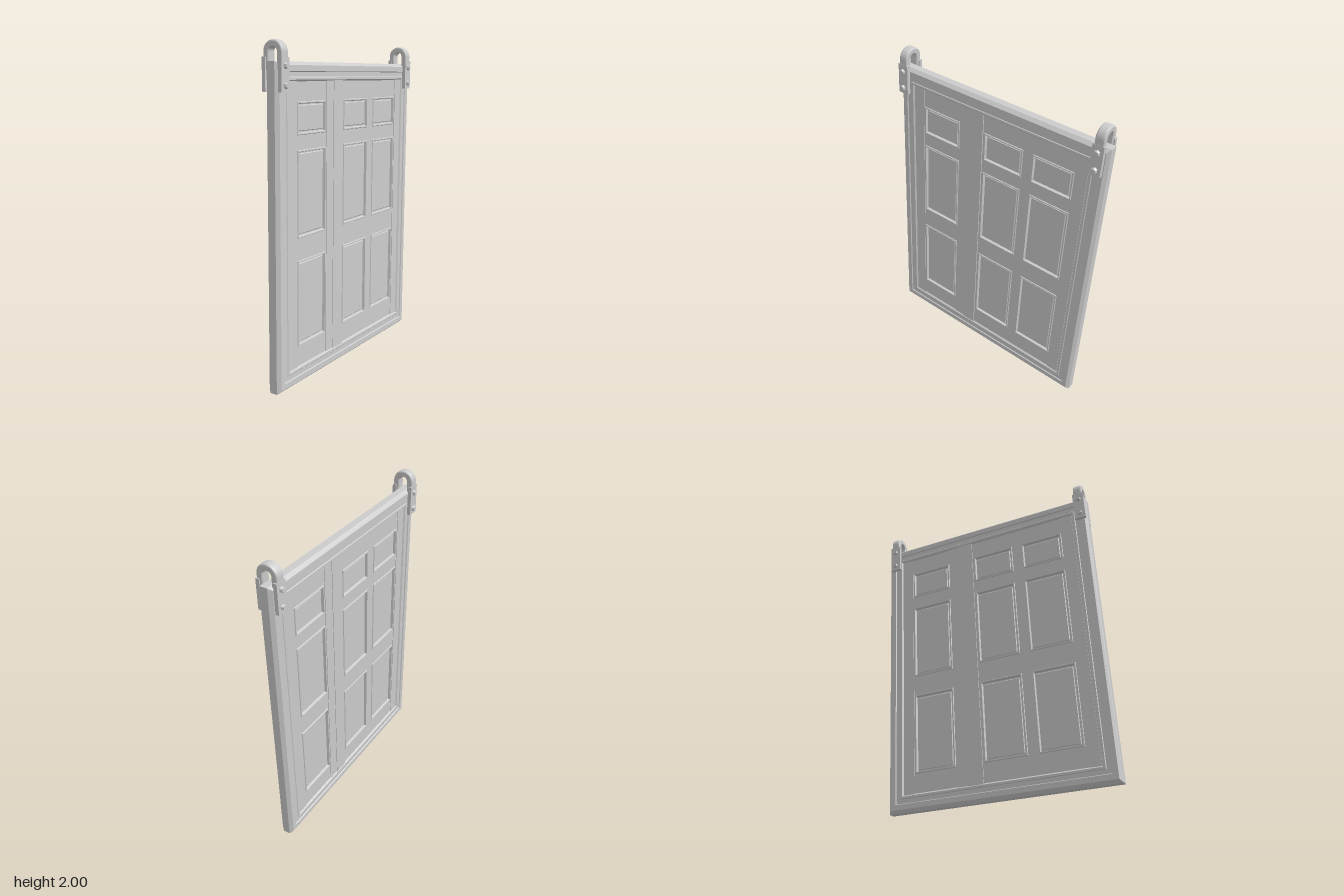
import * as THREE from 'three';

// Local frame: X runs across the door, Y up it, Z out of its main face.
const W = 1.443, H = 1.84;

// Slight lean and skew of the hanging door, baked into every geometry.
const LEAN = new THREE.Matrix4().set(
  1, 0, 0, 0,
  0, 1, 0, 0,
  0, 0, 1, 0,
  0, 0, 0, 1
).makeBasis(
  new THREE.Vector3(0.024, -0.036, -1),
  new THREE.Vector3(-0.021, 0.998, -0.05),
  new THREE.Vector3(1, 0, 0)
).setPosition(0.01, 0.053, 0.77);

// Turns a part of the main face round to the other face.
const TURN = new THREE.Matrix4().makeRotationY(Math.PI).setPosition(W, 0, 0);

const material = new THREE.MeshStandardMaterial({ color: 0xcccccc, flatShading: true });

function add(parent, name, geometry, turned = false) {
  if (turned) geometry.applyMatrix4(TURN);
  geometry.applyMatrix4(LEAN);
  const mesh = new THREE.Mesh(geometry, material);
  mesh.name = name;
  parent.add(mesh);
  return mesh;
}

// Mitred rectangular moulding: profile is a list of [inset, depth].
function moulding(x0, y0, x1, y1, profile, capped) {
  const rings = profile.map(([d, t]) => [
    [x0 + d, y0 + d, t], [x1 - d, y0 + d, t], [x1 - d, y1 - d, t], [x0 + d, y1 - d, t]
  ]);
  const pos = [];
  const quad = (a, b, c, d) => pos.push(...a, ...b, ...c, ...a, ...c, ...d);
  for (let i = 0; i < rings.length - 1; i++) {
    for (let c = 0; c < 4; c++) {
      const n = (c + 1) % 4;
      quad(rings[i][c], rings[i][n], rings[i + 1][n], rings[i + 1][c]);
    }
  }
  if (capped) quad(...rings[rings.length - 1]);
  const g = new THREE.BufferGeometry();
  g.setAttribute('position', new THREE.Float32BufferAttribute(pos, 3));
  g.computeVertexNormals();
  return g;
}

function box(x0, x1, y0, y1, z0, z1) {
  return new THREE.BoxGeometry(x1 - x0, y1 - y0, z1 - z0)
    .translate((x0 + x1) / 2, (y0 + y1) / 2, (z0 + z1) / 2);
}

function rectPath(path, x0, y0, x1, y1) {
  path.moveTo(x0, y0);
  path.lineTo(x1, y0);
  path.lineTo(x1, y1);
  path.lineTo(x0, y1);
  path.closePath();
  return path;
}

// One panelled face of the door.
function addFace(parent, turned) {
  const face = new THREE.Group();
  face.name = turned ? 'backFace' : 'mainFace';
  parent.add(face);

  const columns = [[0.185, 0.46], [0.645, 0.92], [0.985, 1.258]];
  const rows = [[0.225, 0.733], [0.862, 1.36], [1.443, 1.627]];
  const board = rectPath(new THREE.Shape(), 0.1, 0.075, 1.343, 1.77);

  for (const [x0, x1] of columns) {
    for (const [y0, y1] of rows) {
      board.holes.push(rectPath(new THREE.Path(), x0, y0, x1, y1));
      // Raised bead, then a recess and a flat field
      add(face, 'panel', moulding(x0, y0, x1, y1, [
        [0, 0.03], [0.003, 0.035], [0.009, 0.035], [0.014, 0.02], [0.02, 0.02], [0.024, 0.024]
      ], true), turned);
    }
  }
  add(face, 'rails', new THREE.ShapeGeometry(board).translate(0, 0, 0.03), turned);

  // Stiles stand slightly proud of the rails
  const stiles = [[0.105, 0.18, 0.033], [0.467, 0.537, 0.033], [0.537, 0.635, 0.036], [1.267, 1.338, 0.033]];
  for (const [x0, x1, z] of stiles) add(face, 'stile', box(x0, x1, 0.08, 1.765, 0.02, z), turned);
}

// Hanging bracket: a shackle loop with a bolted plate on each face.
function addBracket(parent, x) {
  const bracket = new THREE.Group();
  bracket.name = 'hangingBracket';
  parent.add(bracket);

  const R = 0.056, r = 0.033, cy = 1.889, foot = 1.8;
  const loop = new THREE.Shape();
  loop.moveTo(R, foot);
  loop.lineTo(R, cy);
  loop.absarc(0, cy, R, 0, Math.PI, false);
  loop.lineTo(-R, foot);
  loop.lineTo(-r, foot);
  loop.lineTo(-r, cy);
  loop.absarc(0, cy, r, Math.PI, 0, true);
  loop.lineTo(r, foot);
  loop.closePath();
  const shackle = new THREE.ExtrudeGeometry(loop, {
    depth: 0.034, curveSegments: 12, bevelSize: 0.007, bevelThickness: 0.011, bevelSegments: 2
  });
  add(bracket, 'shackle', shackle.translate(0, 0, -0.017).rotateY(Math.PI / 2).translate(x, 0, 0));

  for (const s of [-1, 1]) {
    add(bracket, 'plate', box(x - 0.035, x + 0.035, 1.68, 1.862, s * 0.053 - 0.011, s * 0.053 + 0.011));
    for (const y of [1.715, 1.818]) {
      const bolt = new THREE.CylinderGeometry(0.013, 0.019, 0.014, 6);
      add(bracket, 'bolt', bolt.rotateX(s * Math.PI / 2).translate(x, y, s * 0.071));
    }
  }
}

export function createModel() {
  const model = new THREE.Group();
  model.name = 'hangingDoor';

  // Outer frame, stepped alike on both faces
  const half = [[0, 0.022], [0.018, 0.042], [0.05, 0.042], [0.054, 0.036], [0.08, 0.036], [0.084, 0.04], [0.096, 0.04], [0.105, 0.03]];
  const back = half.map(([d, t]) => [d, -t]).reverse();
  add(model, 'frame', moulding(0, 0, W, H, [...back, ...half], false));

  addFace(model, false);
  addFace(model, true);
  addBracket(model, 0.04);
  addBracket(model, 1.385);
  return model;
}
